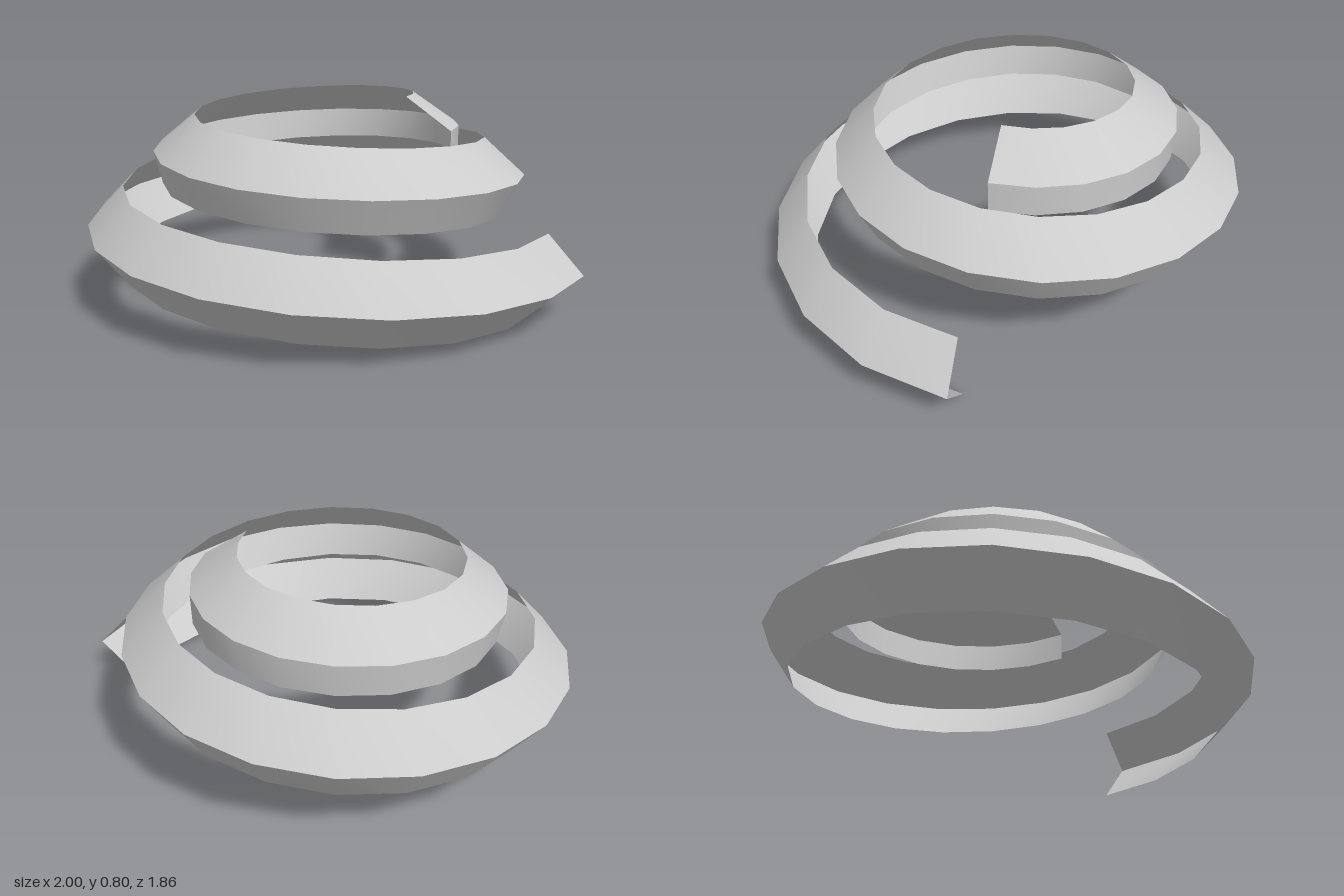
import * as THREE from 'three';

const TURNS = 2;
const SEGMENTS = 40;
const CENTER = { x: -0.066, z: -0.065 };

// Outer fold of the ribbon at every quarter turn: radius shrinks evenly, height eases off
const foldRadius = (i) => 1.065 - 0.0665 * i;
const foldHeight = [0.16, 0.245, 0.335, 0.415, 0.49, 0.55, 0.61, 0.655, 0.675];

// Upper and lower rims: inward offset from the fold, and height
const upperInset = [0.14, 0.135, 0.15, 0.165, 0.165, 0.16, 0.17, 0.18, 0.185];
const upperHeight = [0.31, 0.4, 0.485, 0.57, 0.64, 0.7, 0.745, 0.785, 0.8];
const lowerInset = [0.17, 0.135, 0.12, 0.1, 0.08, 0.045, 0.025, 0.01, 0];
const lowerHeight = [0, 0.09, 0.17, 0.26, 0.345, 0.42, 0.48, 0.53, 0.555];

// Smooth (radius, height) curve along the spiral
function railCurve(insets, heights) {
  return new THREE.SplineCurve(
    heights.map((y, i) => new THREE.Vector2(foldRadius(i) - (insets ? insets[i] : 0), y))
  );
}

// Strip of quads between two rails winding around the centre
function spiralStrip(topRail, bottomRail) {
  const positions = [];
  const indices = [];
  for (let i = 0; i <= SEGMENTS; i++) {
    const t = i / SEGMENTS;
    const angle = t * TURNS * Math.PI * 2;
    for (const rail of [topRail, bottomRail]) {
      const p = rail.getPoint(t);
      positions.push(CENTER.x + p.x * Math.cos(angle), p.y, CENTER.z + p.x * Math.sin(angle));
    }
    if (i < SEGMENTS) {
      const a = i * 2;
      indices.push(a, a + 2, a + 1, a + 1, a + 2, a + 3);
    }
  }
  const geometry = new THREE.BufferGeometry();
  geometry.setAttribute('position', new THREE.Float32BufferAttribute(positions, 3));
  geometry.setIndex(indices);
  geometry.computeVertexNormals();
  return geometry;
}

export function createModel() {
  const group = new THREE.Group();
  group.name = 'spiralRibbon';

  const material = new THREE.MeshStandardMaterial({ color: 0xcccccc, side: THREE.DoubleSide });
  material.name = 'light grey';

  const upper = railCurve(upperInset, upperHeight);
  const fold = railCurve(null, foldHeight);
  const lower = railCurve(lowerInset, lowerHeight);

  // Two bands meeting at a sharp outer fold
  const upperBand = new THREE.Mesh(spiralStrip(upper, fold), material);
  upperBand.name = 'upperBand';
  const lowerBand = new THREE.Mesh(spiralStrip(fold, lower), material);
  lowerBand.name = 'lowerBand';

  group.add(upperBand, lowerBand);
  return group;
}
